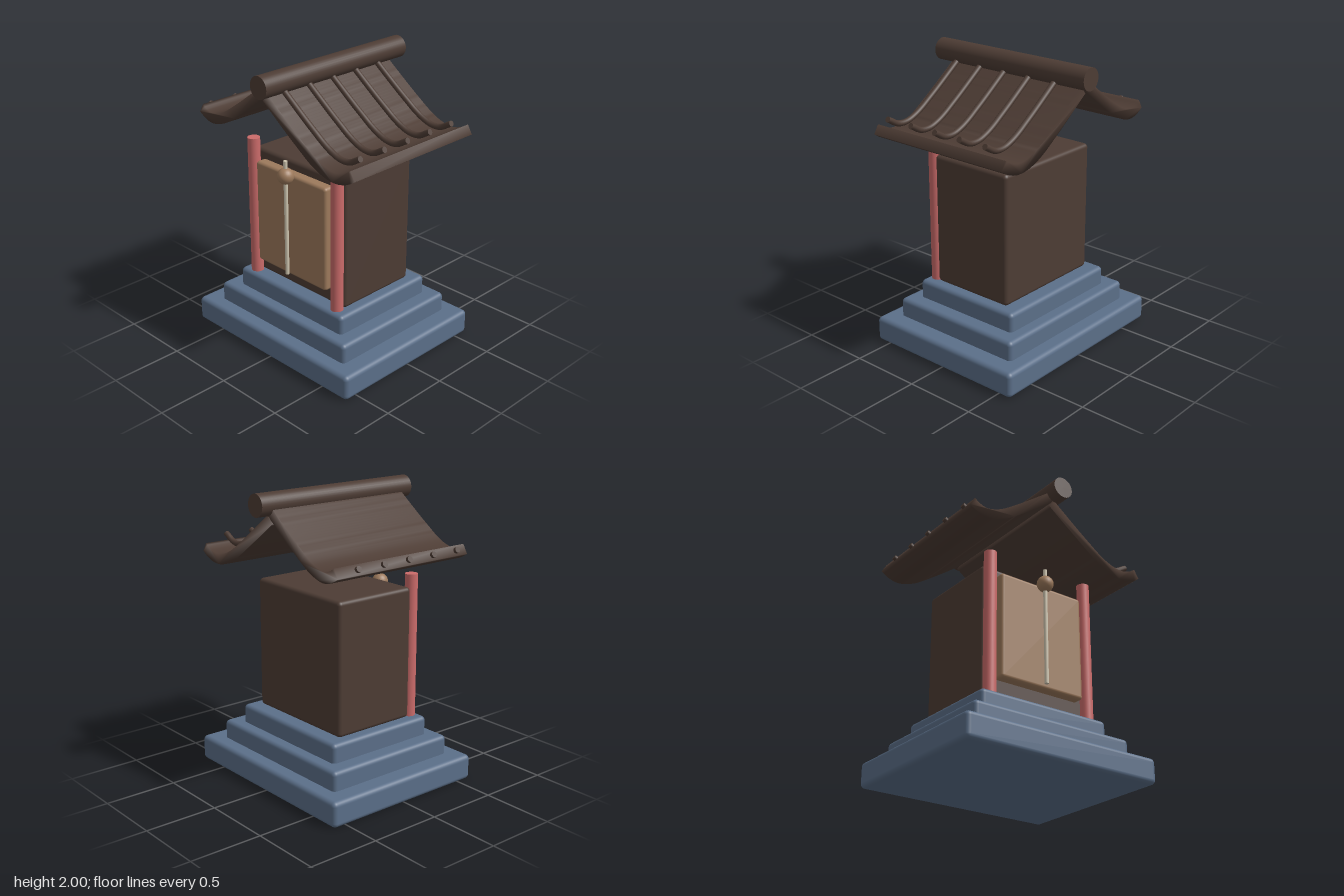
import * as THREE from 'three';
import { RoundedBoxGeometry } from 'three/addons/geometries/RoundedBoxGeometry.js';
import { mergeVertices } from 'three/addons/utils/BufferGeometryUtils.js';

const material = (name, color) => {
  const m = new THREE.MeshStandardMaterial({ color });
  m.name = name;
  return m;
};

export function createModel() {
  const group = new THREE.Group();
  const wood = material('dark wood', 0x4d3c34);
  const stone = material('blue stone', 0x5b6f89);
  const red = material('red paint', 0xcb6b6a);
  const tan = material('tan wood', 0x9d7a5c);
  const cord = material('pale cord', 0xcfc6b0);

  const add = (name, geometry, mat, x = 0, y = 0, z = 0) => {
    const mesh = new THREE.Mesh(geometry, mat);
    mesh.name = name;
    mesh.position.set(x, y, z);
    group.add(mesh);
    return mesh;
  };
  const roundedBox = (name, mat, w, y0, y1, d, r, z = 0) =>
    add(name, new RoundedBoxGeometry(w, y1 - y0, d, 4, r), mat, 0, (y0 + y1) / 2, z);

  // Stepped stone base
  roundedBox('baseStepLower', stone, 1.47, 0, 0.175, 1.21, 0.032);
  roundedBox('baseStepMiddle', stone, 1.21, 0.13, 0.305, 0.995, 0.03);
  roundedBox('baseStepUpper', stone, 0.99, 0.26, 0.433, 0.82, 0.03);

  // Shrine body and door
  roundedBox('body', wood, 0.855, 0.43, 1.34, 0.618, 0.028);
  roundedBox('door', tan, 0.656, 0.55, 1.282, 0.085, 0.022, 0.343);

  // Front pillars
  for (const side of [-1, 1]) {
    add(side > 0 ? 'leftPillar' : 'rightPillar',
      new THREE.CylinderGeometry(0.043, 0.043, 0.99, 24), red, side * 0.391, 0.927, 0.342);
  }

  // Bell and hanging cord
  add('bell', new THREE.SphereGeometry(0.056, 24, 16), tan, 0, 1.283, 0.418);
  add('bellCord', new THREE.CylinderGeometry(0.014, 0.014, 0.815, 12), cord, 0, 0.98, 0.418);

  // Roof sweep shared by the panels and the ribs
  const sweep = new THREE.CatmullRomCurve3([
    [0.01, 1.9], [0.1, 1.832], [0.3, 1.687], [0.45, 1.592], [0.56, 1.561], [0.625, 1.575], [0.675, 1.605],
  ].map(([x, y]) => new THREE.Vector3(x, y, 0)));

  // Curved panel lying between two offsets along the normal of the sweep, softly shaded all round
  const roofPanel = (side, low, high) => {
    const n = 36;
    const edge = (offset) => Array.from({ length: n + 1 }, (_, i) => {
      const p = sweep.getPointAt(i / n);
      const t = sweep.getTangentAt(i / n);
      return new THREE.Vector2(side * (p.x - t.y * offset), p.y + t.x * offset);
    });
    const shape = new THREE.Shape([...edge(low), ...edge(high).reverse()]);
    const extruded = new THREE.ExtrudeGeometry(shape, { depth: 1.085, bevelEnabled: false });
    extruded.translate(0, 0, -0.5425);
    extruded.deleteAttribute('uv');
    extruded.deleteAttribute('normal');
    const geometry = mergeVertices(extruded);
    geometry.computeVertexNormals();
    return geometry;
  };
  add('leftRoofPanel', roofPanel(1, -0.115, -0.045), wood);
  add('rightRoofPanel', roofPanel(-1, -0.035, 0.035), wood);

  // Roof ribs with closed ends, reaching just past the panels
  const ribRadius = 0.02;
  for (const side of [-1, 1]) {
    const points = sweep.getSpacedPoints(10).map((p) => new THREE.Vector3(side * p.x, p.y, 0));
    points.push(new THREE.Vector3(side * 0.693, 1.614, 0));
    const path = new THREE.CatmullRomCurve3(points);
    const tube = new THREE.TubeGeometry(path, 36, ribRadius, 10);
    const cap = new THREE.CircleGeometry(ribRadius, 10);
    const end = points[points.length - 1];
    for (let i = 0; i < 5; i++) {
      const z = -0.378 + i * 0.208;
      add('roofRib', tube, wood, 0, 0, z);
      add('roofRibEnd', cap, wood, end.x, end.y, z)
        .quaternion.setFromUnitVectors(new THREE.Vector3(0, 0, 1), path.getTangentAt(1));
    }
  }

  // Ridge beam
  add('ridgeBeam', new THREE.CylinderGeometry(0.075, 0.075, 1.256, 32), wood, 0, 1.925, 0)
    .rotation.x = Math.PI / 2;

  return group;
}
